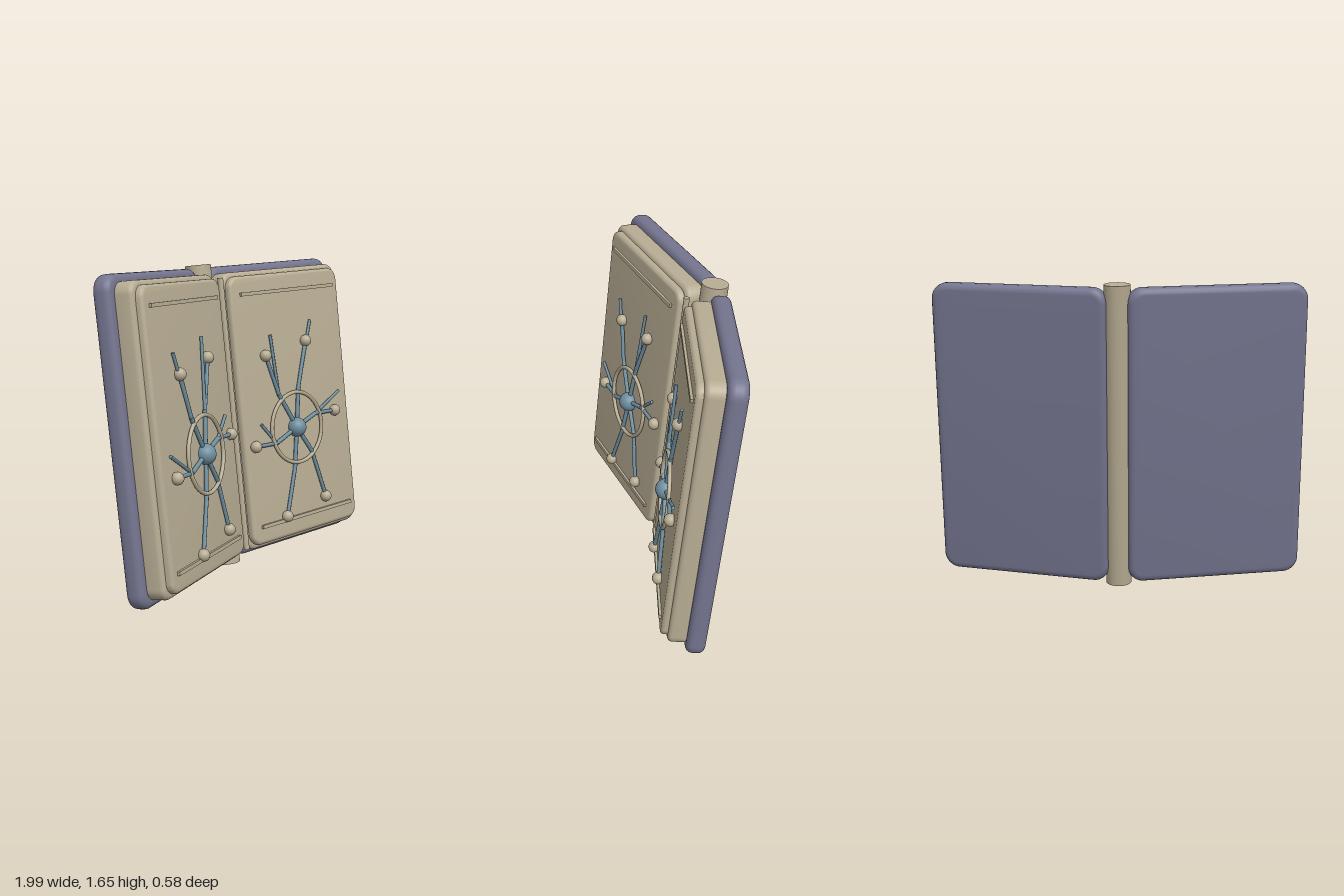
import * as THREE from 'three';
import { toCreasedNormals } from 'three/addons/utils/BufferGeometryUtils.js';

const TILT = 0.12;   // lean of the whole book
const OPEN = 0.2;    // angle of each half

function mat(name, color) {
  const m = new THREE.MeshStandardMaterial({ color });
  m.name = name;
  return m;
}

function add(parent, name, geometry, material, x = 0, y = 0, z = 0) {
  const mesh = new THREE.Mesh(geometry, material);
  mesh.name = name;
  mesh.position.set(x, y, z);
  parent.add(mesh);
  return mesh;
}

// Slab with rounded corners and bevelled edges, centred on the origin
function slab(w, h, t, corner, bevel) {
  const a = w / 2 - bevel, b = h / 2 - bevel, r = corner - bevel;
  const s = new THREE.Shape();
  s.moveTo(-a + r, -b);
  s.lineTo(a - r, -b);
  s.absarc(a - r, -b + r, r, -Math.PI / 2, 0);
  s.lineTo(a, b - r);
  s.absarc(a - r, b - r, r, 0, Math.PI / 2);
  s.lineTo(-a + r, b);
  s.absarc(-a + r, b - r, r, Math.PI / 2, Math.PI);
  s.lineTo(-a, -b + r);
  s.absarc(-a + r, -b + r, r, Math.PI, Math.PI * 1.5);
  const g = new THREE.ExtrudeGeometry(s, {
    depth: t - 2 * bevel, bevelEnabled: true, bevelSize: bevel,
    bevelThickness: bevel, bevelSegments: 4, curveSegments: 5,
  });
  g.translate(0, 0, bevel - t / 2);
  return toCreasedNormals(g, 0.6);
}

// Thin rod between two points of the emblem plane
function rod(parent, name, p, q, radius, material) {
  const a = new THREE.Vector3(p[0], p[1], 0), b = new THREE.Vector3(q[0], q[1], 0);
  const d = b.clone().sub(a);
  const mesh = add(parent, name, new THREE.CylinderGeometry(radius, radius, d.length(), 8), material);
  mesh.position.copy(a).add(b).multiplyScalar(0.5);
  mesh.quaternion.setFromUnitVectors(new THREE.Vector3(0, 1, 0), d.normalize());
}

// Arms of the emblem: elbow, ball at the end, optional tip of a side branch
const ARMS = [
  { elbow: [-0.12, 0.205], ball: [-0.193, 0.43], tip: [-0.195, 0.54] },
  { elbow: [0.04, 0.22], ball: [0.133, 0.48], tip: [0.133, 0.593] },
  { elbow: [-0.17, -0.065], ball: [-0.33, -0.06], tip: [-0.325, 0.055] },
  { elbow: [0.16, 0.055], ball: [0.327, 0.05], tip: [0.323, 0.158] },
  { elbow: [-0.045, -0.23], ball: [-0.138, -0.49] },
  { elbow: [0.105, -0.155], ball: [0.188, -0.437] },
];

function emblem(side, paper, steel) {
  const g = new THREE.Group();
  g.name = 'emblem';
  add(g, 'hub', new THREE.SphereGeometry(0.055, 20, 14), steel);
  add(g, 'ring', new THREE.TorusGeometry(0.2, 0.011, 10, 48), paper, 0, 0, 0.004);
  for (const { elbow, ball, tip } of ARMS) {
    rod(g, 'innerSpoke', [0, 0], elbow, 0.012, steel);
    rod(g, 'outerSpoke', elbow, ball, 0.011, steel);
    add(g, 'ball', new THREE.SphereGeometry(0.033, 16, 12), paper, ball[0], ball[1], 0);
    if (tip) rod(g, 'branch', elbow, [tip[0] + side * 0.05, tip[1]], 0.009, steel);
  }
  return g;
}

export function createModel() {
  const cover = mat('slate cover', 0x74758f);
  const paper = mat('parchment', 0xb8ad94);
  const steel = mat('steel blue', 0x6f8fa0);

  const model = new THREE.Group();
  model.name = 'openBook';
  const book = new THREE.Group();
  book.name = 'book';
  book.position.y = 0.842;
  book.rotation.x = -TILT;
  model.add(book);

  // Spine and the thin rod in the gutter
  add(book, 'spine', new THREE.CylinderGeometry(0.07, 0.07, 1.65, 32), paper, 0, 0, -0.121);
  add(book, 'gutterRod', new THREE.CylinderGeometry(0.016, 0.016, 1.49, 12), paper, 0, 0, 0.02);

  // Two halves, hinged at the spine
  for (const side of [1, -1]) {
    const half = new THREE.Group();
    half.name = side > 0 ? 'leftHalf' : 'rightHalf';
    half.position.z = -0.2;
    half.rotation.y = -OPEN * side;
    book.add(half);

    add(half, 'cover', slab(0.96, 1.62, 0.1, 0.085, 0.035), cover, side * 0.54, 0, 0.05);
    add(half, 'pageBlock', slab(0.905, 1.54, 0.115, 0.065, 0.025), paper, side * 0.5225, 0, 0.1375);
    add(half, 'topPage', slab(0.86, 1.49, 0.08, 0.065, 0.02), paper, side * 0.52, 0, 0.192);

    // Raised rules above and below the emblem
    for (const y of [0.645, -0.645])
      add(half, 'rule', new THREE.BoxGeometry(0.735, 0.02, 0.024), paper, side * 0.527, y, 0.234);

    const e = emblem(side, paper, steel);
    e.position.set(side * 0.49, -0.133, 0.247);
    half.add(e);
  }
  return model;
}
